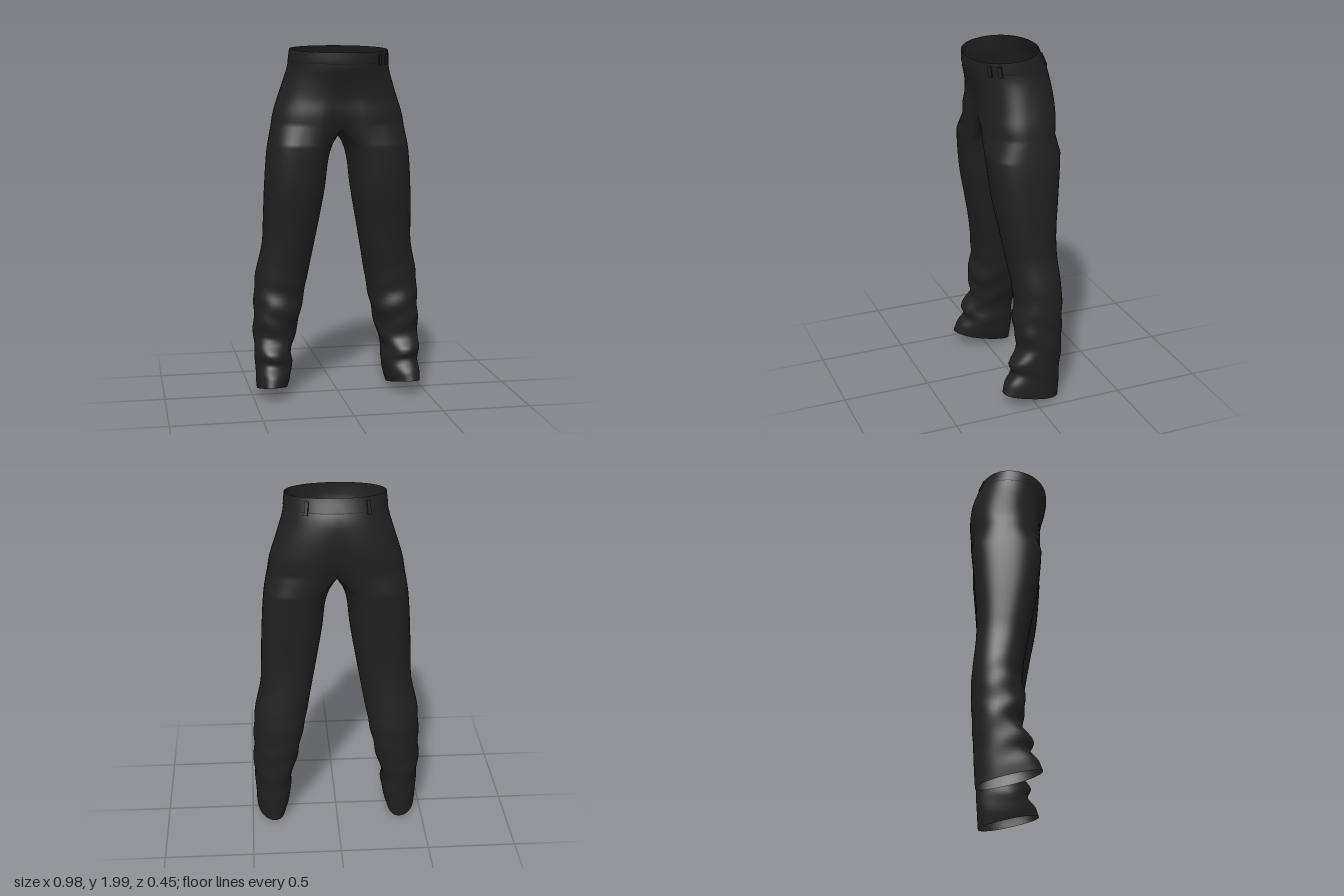
import * as THREE from 'three';
import { mergeGeometries, mergeVertices } from 'three/addons/utils/BufferGeometryUtils.js';

const OUT = 32, IN = 14; // points around the outer wrap and the inner leg
const { smoothstep, lerp, degToRad } = THREE.MathUtils;

// Hips: height, half width, front z, back z, rim tilt, depth of the centre crease
const HIPS = [
  [1.55, 0.378, 0.195, -0.215, 0, 0.24],
  [1.62, 0.366, 0.197, -0.222, 0, 0.12],
  [1.70, 0.342, 0.192, -0.226, 0, 0.06],
  [1.80, 0.310, 0.207, -0.222, 0, 0.02],
  [1.88, 0.287, 0.226, -0.205, -0.04, 0],
  [1.94, 0.280, 0.230, -0.175, -0.08, 0],
  [1.982, 0.276, 0.230, -0.158, -0.1, 0],
];
// Leg: height, inner x, outer x, front z, back z, hem tilt
const LEG = [
  [0.043, 0.300, 0.472, 0.182, -0.166, 0.24],
  [0.11, 0.280, 0.477, 0.162, -0.172, 0.16],
  [0.19, 0.268, 0.476, 0.122, -0.176, 0.08],
  [0.24, 0.274, 0.480, 0.132, -0.180, 0.03],
  [0.34, 0.246, 0.485, 0.080, -0.186, 0],
  [0.48, 0.213, 0.482, 0.096, -0.193, 0],
  [0.60, 0.188, 0.478, 0.080, -0.195, 0],
  [0.70, 0.168, 0.470, 0.085, -0.188, 0],
  [0.88, 0.135, 0.432, 0.112, -0.173, 0],
  [1.00, 0.113, 0.426, 0.133, -0.171, 0],
  [1.20, 0.079, 0.418, 0.170, -0.185, 0],
  [1.40, 0.052, 0.403, 0.190, -0.201, 0],
  [1.47, 0.026, 0.393, 0.194, -0.208, 0],
];

// Smooth lookup through a table by height
function sampler(table) {
  const f = new THREE.CubicInterpolant(table.map(r => r[0]), table.flatMap(r => r.slice(1)), 5, []);
  return y => [...f.evaluate(y)];
}
const hipAt = sampler(HIPS), legAt = sampler(LEG);

// Rounded-box style curve: signed power of sine or cosine
const bulge = (v, n) => Math.sign(v) * Math.pow(Math.abs(v), 2 / n);

// Point on the hips; u runs from the centre front round the side to the centre back
function hipPoint(u, y, grow = 0) {
  const [w, front, back, tilt, crease] = hipAt(y);
  const a = Math.PI * (0.5 - u);
  const n = lerp(2.6, 2.1, smoothstep(y, 1.6, 1.9));
  const x = u === 0 || u === 1 ? 0 : (w + grow) * bulge(Math.cos(a), n);
  let z = (front + back) / 2 + ((front - back) / 2 + grow) * bulge(Math.sin(a), n);
  z *= 1 - crease * Math.exp(-((x / 0.07) ** 2));
  return new THREE.Vector3(x, y + tilt * z, z);
}

// Point on the left leg at an angle measured from the outer side
function legPoint(a, y) {
  const [inner, outer, front, back, tilt] = legAt(y);
  const n = lerp(2.15, 2.6, smoothstep(y, 0.6, 1.45));
  const low = 1 - smoothstep(y, 0.45, 0.8);
  const fold = low * smoothstep(y, 0.05, 0.2) * 0.006;
  const s = bulge(Math.sin(a), n);
  const z = (front + back) / 2 + (front - back) / 2 * s + fold * Math.sin(y * 44 + a * 2) * (0.6 + 0.4 * s);
  const x = (inner + outer) / 2 + (outer - inner) / 2 * bulge(Math.cos(a), n)
    + low * 0.1 * z * Math.abs(s) + fold * 0.6 * Math.sin(y * 37 - a * 3);
  return new THREE.Vector3(x, y + tilt * z, z);
}

// Skin rows of points that run top to bottom; closed rows wrap round
function skin(rows, closed) {
  const n = rows[0].length, idx = [];
  for (let r = 0; r < rows.length - 1; r++)
    for (let i = 0; i < (closed ? n : n - 1); i++) {
      const j = (i + 1) % n, a = r * n, b = a + n;
      idx.push(a + i, b + i, a + j, b + i, b + j, a + j);
    }
  const g = new THREE.BufferGeometry().setFromPoints(rows.flat());
  g.setIndex(idx);
  return g;
}

function mirrored(g) {
  const m = g.clone().scale(-1, 1, 1), ix = m.index.array;
  for (let i = 0; i < ix.length; i += 3) [ix[i], ix[i + 1]] = [ix[i + 1], ix[i]];
  return m;
}

function weld(parts) {
  const g = mergeVertices(mergeGeometries(parts), 1e-4);
  g.computeVertexNormals();
  return g;
}

const hipRow = (y, grow) => Array.from({ length: OUT + 1 }, (_, i) => hipPoint(i / OUT, y, grow));

function trouserGeometry() {
  // Hips from waist rim down to the crotch
  const hips = [];
  for (let k = 0; k <= 16; k++) hips.push(hipRow(lerp(1.982, 1.55, k / 16)));

  // Top of the leg: hip row closed by the seam that passes under the crotch
  const top = hipRow(1.55), f = top[0].z, b = top[OUT].z;
  for (let i = 1; i < IN; i++) {
    const t = i / IN;
    top.push(new THREE.Vector3(0, 1.55 - 0.05 * Math.sin(Math.PI * t), lerp(b, f, t)));
  }
  const legs = [top];
  const open = degToRad(125);
  for (let k = 0; k <= 64; k++) {
    const y = lerp(1.46, 0.043, k / 64), row = [];
    for (let i = 0; i <= OUT; i++) row.push(legPoint(lerp(open, -open, i / OUT), y));
    for (let i = 1; i < IN; i++) row.push(legPoint(lerp(-open, open - 2 * Math.PI, i / IN), y));
    legs.push(row);
  }
  const half = [skin(hips, false), skin(legs, true)];
  return weld([...half, ...half.map(mirrored)]);
}

export function createModel() {
  const group = new THREE.Group();
  const cloth = new THREE.MeshStandardMaterial({ color: 0x202020, side: THREE.DoubleSide });
  cloth.name = 'black cloth';
  const add = (name, geometry) => {
    const m = new THREE.Mesh(geometry, cloth);
    m.name = name;
    group.add(m);
    return m;
  };

  add('trousers', trouserGeometry());

  // Waistband: thin raised strip below the rim
  const band = skin([1.98, 1.95, 1.915, 1.91].map((y, i) => hipRow(y, i === 3 ? 0 : 0.002)), false);
  add('waistband', weld([band, mirrored(band)]));

  // Belt loops: position round the waist and side
  for (const [u, side] of [[0.25, 1], [0.33, 1], [0.81, 1], [0.81, -1]]) {
    const lo = hipPoint(u, 1.9, 0.006), hi = hipPoint(u, 1.965, 0.006);
    const next = hipPoint(u + 0.01, 1.93, 0.006), prev = hipPoint(u - 0.01, 1.93, 0.006);
    for (const p of [lo, hi, next, prev]) p.x *= side;
    const up = hi.clone().sub(lo), across = next.sub(prev).multiplyScalar(side).normalize();
    const loop = add('beltLoop', new THREE.BoxGeometry(0.022, up.length(), 0.008));
    up.normalize();
    const outward = across.clone().cross(up).normalize();
    across.crossVectors(up, outward);
    loop.quaternion.setFromRotationMatrix(new THREE.Matrix4().makeBasis(across, up, outward));
    loop.position.copy(lo).add(hi).multiplyScalar(0.5);
  }
  return group;
}
